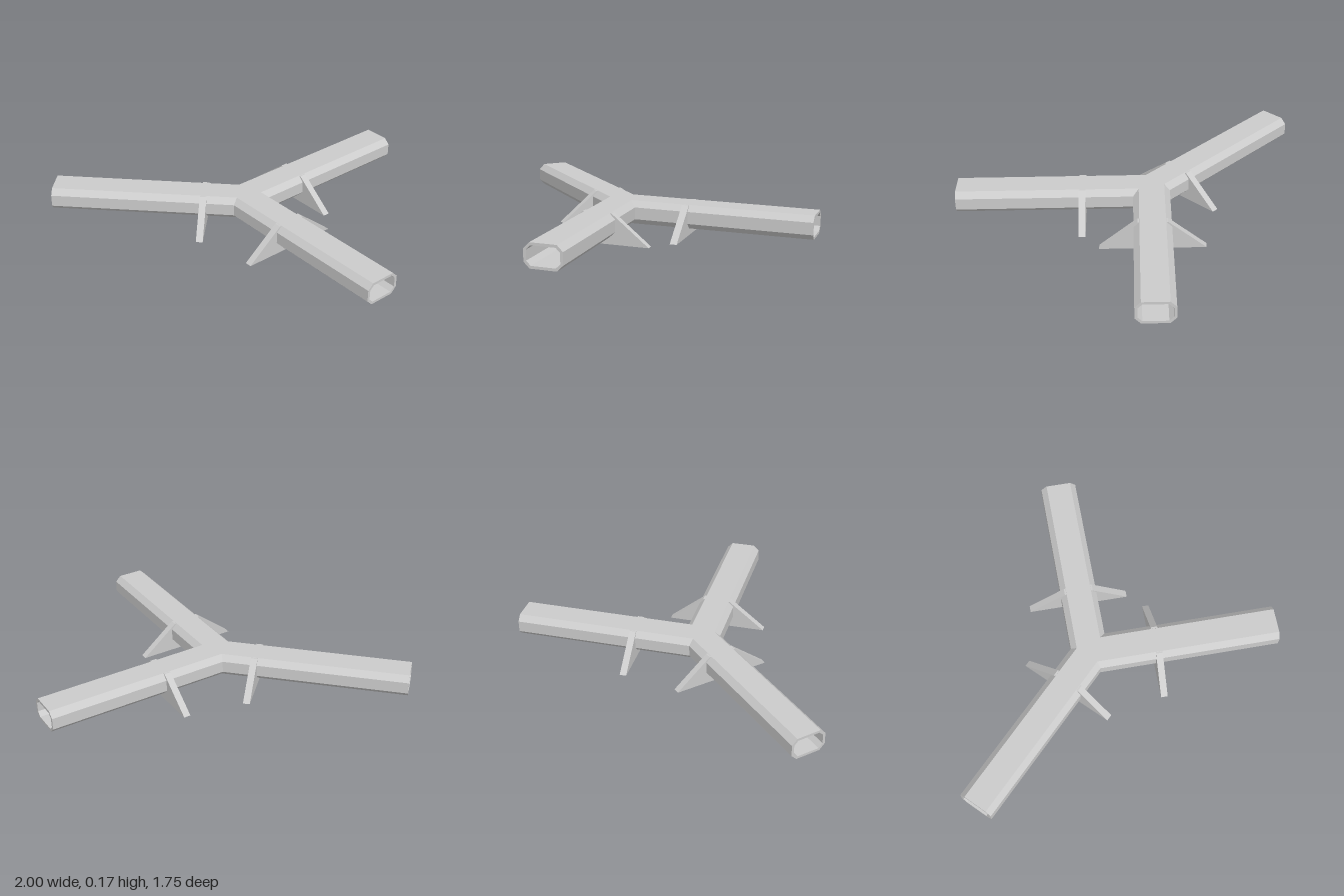
import * as THREE from 'three';

const LENGTH = 1.127;      // junction centre to open end
const JUNCTION_X = 0.127;
const HALF_W = 0.107, Y0 = 0.04, Y1 = 0.175, CHAMFER = 0.033, WALL = 0.015;

const material = new THREE.MeshStandardMaterial({ color: 0xcccccc, flatShading: true, side: THREE.DoubleSide });

// Chamfered tube section, counter-clockwise, with midpoints where the mitre planes meet
function section(inset) {
  const w = HALF_W - inset, b = Y0 + inset, t = Y1 - inset, c = CHAMFER - inset * 0.586;
  return [
    [0, b], [w - c, b], [w, b + c], [w, t - c], [w - c, t],
    [0, t], [c - w, t], [-w, t - c], [-w, b + c], [c - w, b],
  ];
}

// Hollow arm along +z, mitred against its neighbours; angles are to the +x and -x neighbour
function armGeometry(anglePlus, angleMinus) {
  const mitre = ([s, y]) => {
    const half = THREE.MathUtils.degToRad(s > 0 ? anglePlus : angleMinus) / 2;
    return [s, y, Math.abs(s) / Math.tan(half)];
  };
  const end = ([s, y]) => [s, y, LENGTH];
  const outer = section(0), inner = section(WALL);
  const rows = [outer.map(mitre), outer.map(end), inner.map(end), inner.map(mitre)];
  const n = outer.length, index = [];
  for (let r = 0; r < rows.length - 1; r++) {
    for (let i = 0; i < n; i++) {
      const j = (i + 1) % n;
      const a = r * n + i, b = r * n + j, c = b + n, d = a + n;
      index.push(a, b, c, a, c, d);
    }
  }
  const indexed = new THREE.BufferGeometry();
  indexed.setAttribute('position', new THREE.Float32BufferAttribute(rows.flat(2), 3));
  indexed.setIndex(index);
  const geometry = indexed.toNonIndexed();
  geometry.computeVertexNormals();
  return geometry;
}

// Trapezoid support plate standing across an arm
function supportGeometry() {
  const thickness = 0.04, top = Y1 - 0.001;
  const shape = new THREE.Shape([
    new THREE.Vector2(-0.3, 0), new THREE.Vector2(0.3, 0),
    new THREE.Vector2(0.085, top), new THREE.Vector2(-0.085, top),
  ]);
  return new THREE.ExtrudeGeometry(shape, { depth: thickness, bevelEnabled: false })
    .translate(0, 0, -thickness / 2);
}

export function createModel() {
  const model = new THREE.Group();
  model.name = 'pipeJunction';

  const arms = [
    { name: 'stem', turn: -90, plus: 135, minus: 135, supportAt: 0.227 },
    { name: 'frontBranch', turn: 45, plus: 90, minus: 135, supportAt: 0.4 },
    { name: 'backBranch', turn: 135, plus: 135, minus: 90, supportAt: 0.4 },
  ];
  for (const { name, turn, plus, minus, supportAt } of arms) {
    const arm = new THREE.Group();
    arm.name = name;
    arm.position.x = JUNCTION_X;
    arm.rotation.y = THREE.MathUtils.degToRad(turn);

    const tube = new THREE.Mesh(armGeometry(plus, minus), material);
    tube.name = name + 'Tube';
    const support = new THREE.Mesh(supportGeometry(), material);
    support.name = name + 'Support';
    support.position.z = supportAt;

    arm.add(tube, support);
    model.add(arm);
  }
  return model;
}
